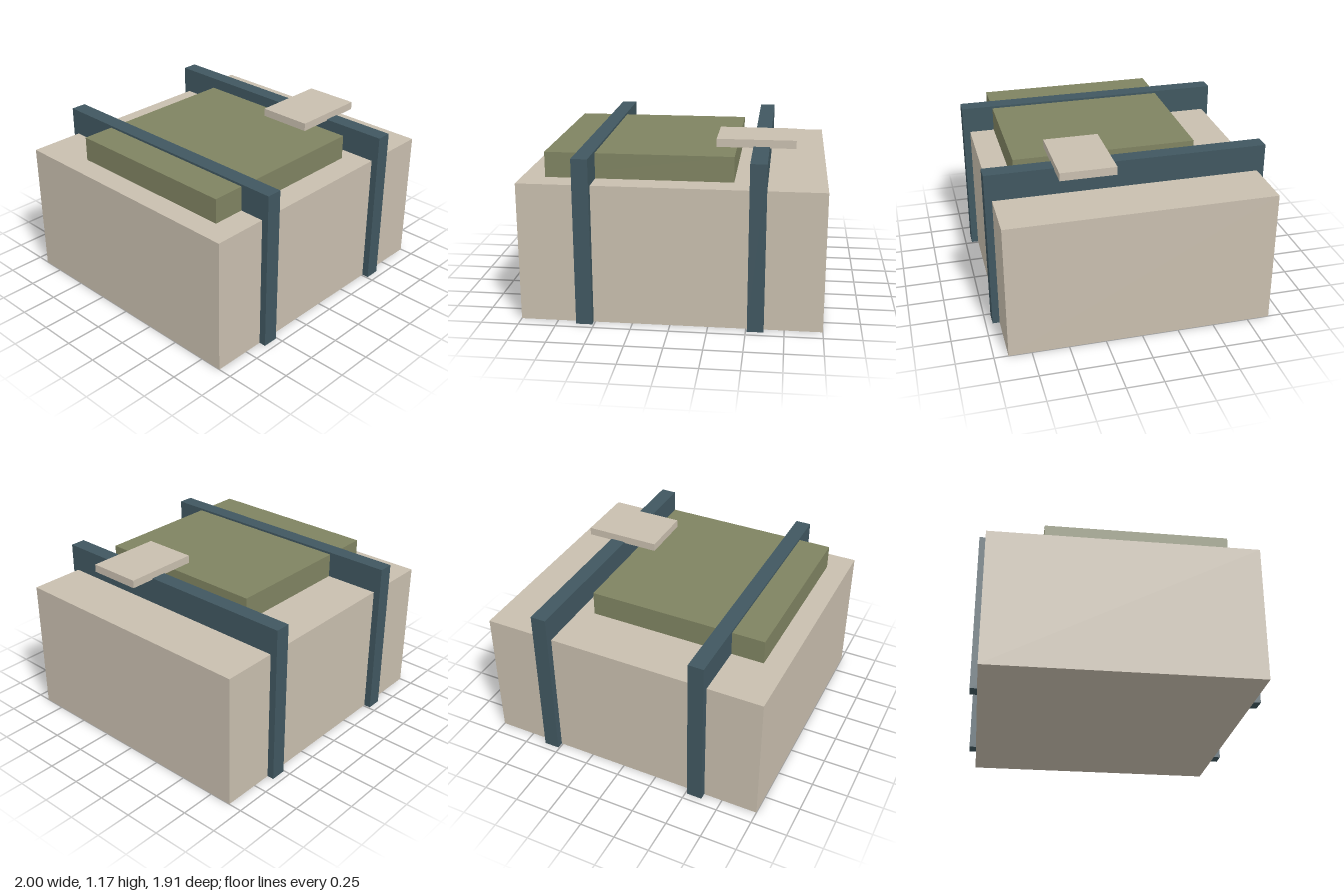
import * as THREE from 'three';

export function createModel() {
  const model = new THREE.Group();
  model.name = 'strappedParcel';

  const tan = new THREE.MeshStandardMaterial({ color: 0xc8beae });
  tan.name = 'tan card';
  const olive = new THREE.MeshStandardMaterial({ color: 0x7f8361 });
  olive.name = 'olive canvas';
  const slate = new THREE.MeshStandardMaterial({ color: 0x405760 });
  slate.name = 'slate strap';

  // Box given by its lower and upper corners
  function box(name, material, [x0, y0, z0], [x1, y1, z1]) {
    const mesh = new THREE.Mesh(new THREE.BoxGeometry(x1 - x0, y1 - y0, z1 - z0), material);
    mesh.position.set((x0 + x1) / 2, (y0 + y1) / 2, (z0 + z1) / 2);
    mesh.name = name;
    model.add(mesh);
  }

  // Main body
  box('body', tan, [-1, 0, -0.905], [1, 0.94, 0.905]);

  // Folded pad lying on top, off centre
  box('topPad', olive, [-0.845, 0.94, -0.52], [0.4, 1.11, 0.73]);

  // Two straps wrapping front, top and back; base just clear of the body's underside
  for (const [name, x] of [['rightStrap', -0.565], ['leftStrap', 0.563]]) {
    box(name, slate, [x - 0.054, 0.001, -0.953], [x + 0.054, 1.125, 0.953]);
  }

  // Flat tag resting on the left strap
  box('tag', tan, [0.265, 1.117, 0.123], [0.792, 1.172, 0.498]);

  return model;
}
